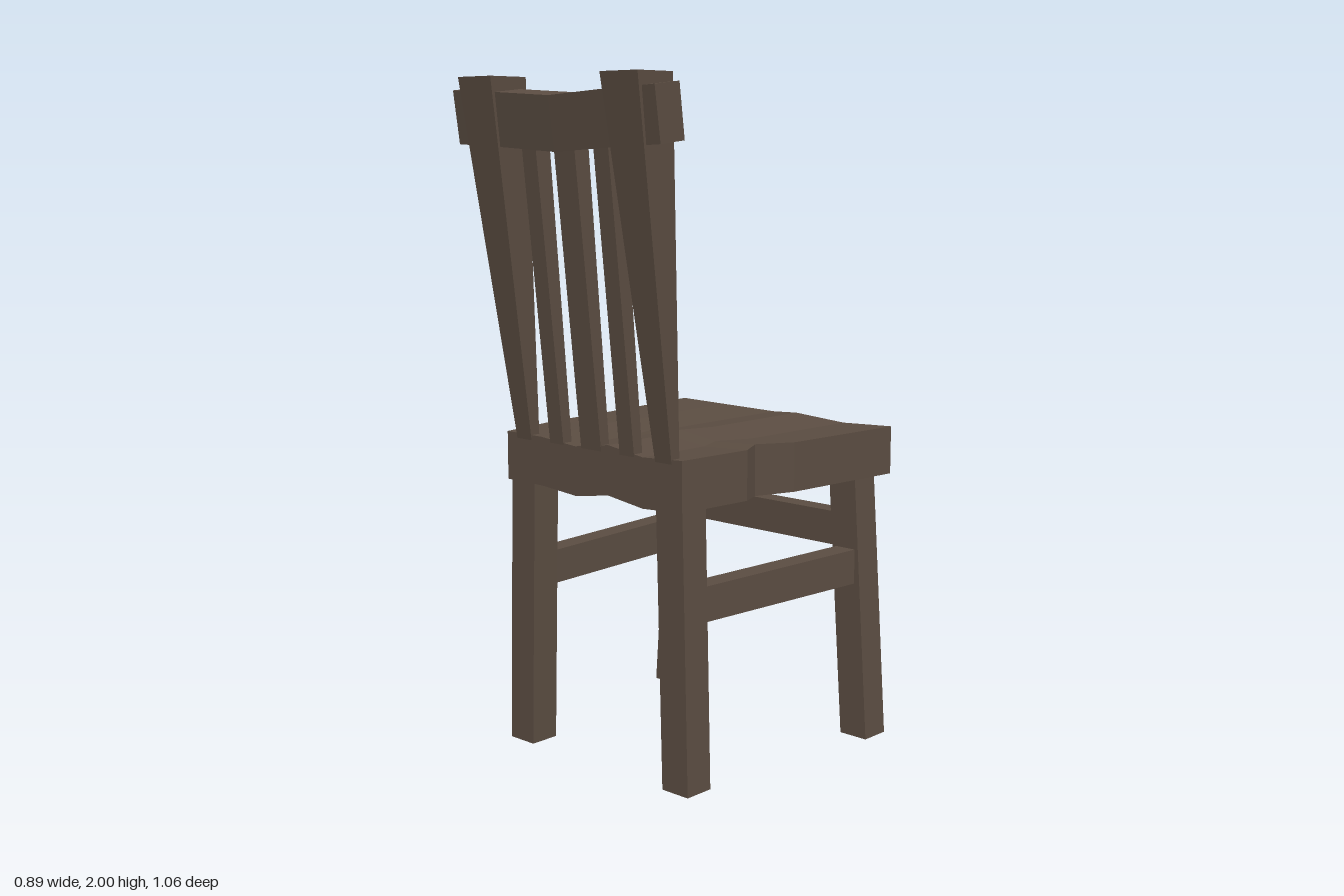
import * as THREE from 'three';

const wood = new THREE.MeshStandardMaterial({ color: 0x5a4c41 });
wood.name = 'darkWood';

// Flat-faced solid through equal-length rings, each counterclockwise about the direction of travel
function loft(name, rings) {
  const pos = [];
  const quad = (a, b, c, d) => pos.push(...a, ...b, ...c, ...a, ...c, ...d);
  const n = rings[0].length;
  for (let k = 0; k < rings.length - 1; k++) {
    const r = rings[k], s = rings[k + 1];
    for (let i = 0; i < n; i++) {
      const j = (i + 1) % n;
      quad(r[i], r[j], s[j], s[i]);
    }
  }
  // End caps as strips between opposite sides of the ring
  const first = rings[0], last = rings[rings.length - 1];
  for (let i = 0; i < n / 2 - 1; i++) {
    const c = n - 2 - i, d = n - 1 - i;
    quad(last[i], last[i + 1], last[c], last[d]);
    quad(first[d], first[c], first[i + 1], first[i]);
  }
  const geo = new THREE.BufferGeometry();
  geo.setAttribute('position', new THREE.Float32BufferAttribute(pos, 3));
  geo.computeVertexNormals();
  const mesh = new THREE.Mesh(geo, wood);
  mesh.name = name;
  return mesh;
}

// Horizontal rectangle at height y, for upright beams
const flat = (y, x0, x1, z0, z1) => [[x0, y, z0], [x0, y, z1], [x1, y, z1], [x1, y, z0]];
// Upright rectangle at depth z, for beams running front to back
const upright = (z, x0, x1, y0, y1) => [[x0, y0, z], [x1, y0, z], [x1, y1, z], [x0, y1, z]];
// Mirrors an x interval
const span = (s, a, b) => (s > 0 ? [a, b] : [-b, -a]);

function makeSeat() {
  const rowZ = [-0.494, -0.075, 0.05, 0.114, 0.362];
  const left = [-0.43, -0.40, -0.376, -0.40, -0.36];
  const right = [0.43, 0.393, 0.35, 0.376, 0.356];
  const across = [0, 0.21, 0.41, 0.6, 0.79, 1];
  const frontX = [-0.43, -0.25, -0.065, 0.086, 0.247, 0.43];
  const frontZ = [-0.494, -0.486, -0.53, -0.46, -0.494, -0.494];
  const wave = [0, 0, -0.011, 0.009, -0.009, 0];
  const rings = across.map((t, c) => {
    const point = (row, y) => [
      row === 0 ? frontX[c] : THREE.MathUtils.lerp(left[row], right[row], t),
      y + wave[c],
      row === 0 ? frontZ[c] : rowZ[row],
    ];
    const top = rowZ.map((_, r) => point(r, r === 2 ? 0.967 : 0.962));
    const bottom = rowZ.map((_, r) => point(r, 0.816)).reverse();
    return [...top, ...bottom];
  });
  return loft('seat', rings);
}

export function createModel() {
  const chair = new THREE.Group();
  chair.name = 'chair';
  chair.add(makeSeat());

  for (const s of [1, -1]) {
    const side = s > 0 ? 'left' : 'right';
    // Splayed legs
    chair.add(loft(side + 'FrontLeg', [
      flat(0, ...span(s, 0.35, 0.447), -0.466, -0.37),
      flat(0.83, ...span(s, 0.29, 0.388), -0.466, -0.37),
    ]));
    chair.add(loft(side + 'BackLeg', [
      flat(0, ...span(s, 0.273, 0.371), 0.26, 0.355),
      flat(0.83, ...span(s, 0.25, 0.35), 0.26, 0.355),
    ]));
    // Side stretchers
    chair.add(loft(side + 'Stretcher', [
      upright(-0.4, ...span(s, 0.325, 0.395), 0.485, 0.592),
      upright(0.3, ...span(s, 0.275, 0.345), 0.485, 0.588),
    ]));
    // Back posts, widening upward
    chair.add(loft(side + 'BackPost', [
      flat(0.94, ...span(s, 0.254, 0.316), 0.33, 0.361),
      flat(2, ...span(s, 0.217, 0.356), 0.398, 0.53),
    ]));
  }

  // Front stretcher
  const stretcherRing = x => [[x, 0.695, -0.45], [x, 0.695, -0.385], [x, 0.59, -0.385], [x, 0.59, -0.45]];
  chair.add(loft('frontStretcher', [stretcherRing(-0.34), stretcherRing(0.34)]));

  // Back slats
  for (const [x, w] of [[-0.144, 0.057], [0, 0.082], [0.144, 0.057]]) {
    chair.add(loft('backSlat', [
      flat(0.94, x - w / 2, x + w / 2, 0.328, 0.361),
      flat(1.84, x - w / 2, x + w / 2, 0.405, 0.46),
    ]));
  }

  // Sagging, tilted top rail
  const railRings = [[-0.4, 0], [-0.22, -0.008], [0, -0.021], [0.22, -0.008], [0.4, 0]].map(([x, dy]) => [
    [x, 1.974 + dy, 0.42], [x, 1.964 + dy, 0.513], [x, 1.812 + dy, 0.491], [x, 1.822 + dy, 0.4],
  ]);
  chair.add(loft('topRail', railRings));

  return chair;
}
